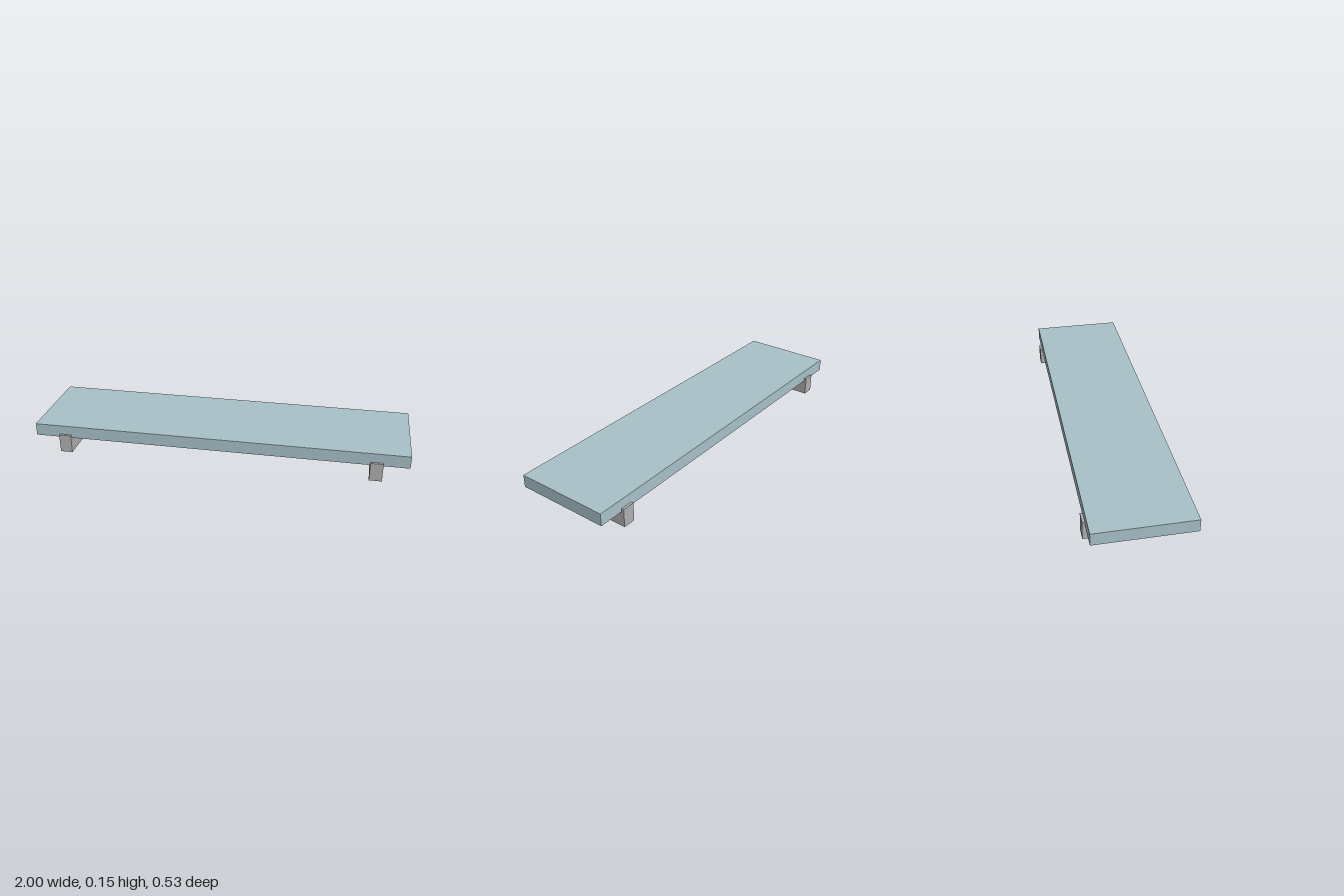
import * as THREE from 'three';

export function createModel() {
  const model = new THREE.Group();
  const blue = new THREE.MeshStandardMaterial({ color: 0xa8c1c9 });
  blue.name = 'pale blue';
  const grey = new THREE.MeshStandardMaterial({ color: 0xb0b0b0 });
  grey.name = 'grey';

  // Box placed by its bottom height
  const addBox = (name, material, w, h, d, x, bottom) => {
    const mesh = new THREE.Mesh(new THREE.BoxGeometry(w, h, d), material);
    mesh.name = name;
    mesh.position.set(x, bottom + h / 2, 0);
    model.add(mesh);
  };

  // Long flat slab
  addBox('slab', blue, 2, 0.067, 0.502, 0, 0.083);

  // Two cross beams, let into the underside and poking out front and back
  for (const [side, sign] of [['left', 1], ['right', -1]]) {
    addBox(side + 'Beam', grey, 0.066, 0.1, 0.528, sign * 0.833, 0);
  }
  return model;
}
